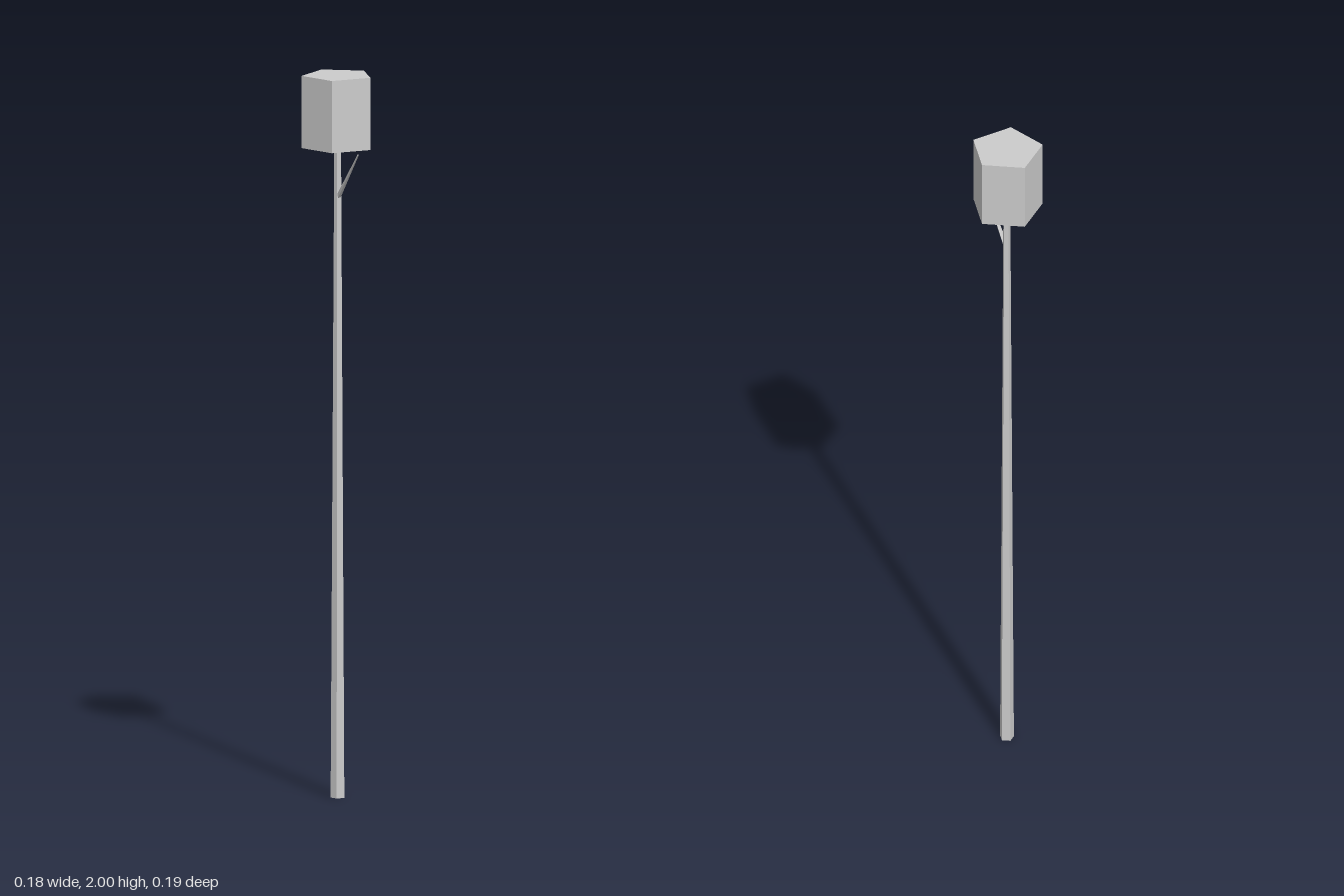
import * as THREE from 'three';

const SIDES = 5;
const AXIS_X = -0.01;

export function createModel() {
  const group = new THREE.Group();
  const material = new THREE.MeshStandardMaterial({ color: 0xcccccc, flatShading: true });

  // Five-sided tapered prism between two points, one corner turned to +x
  function prism(name, from, to, bottomRadius, topRadius) {
    const axis = to.clone().sub(from);
    const geometry = new THREE.CylinderGeometry(
      topRadius, bottomRadius, axis.length(), SIDES, 1, false, Math.PI / 2);
    const mesh = new THREE.Mesh(geometry, material);
    mesh.name = name;
    mesh.position.copy(from).add(to).multiplyScalar(0.5);
    mesh.quaternion.setFromUnitVectors(new THREE.Vector3(0, 1, 0), axis.normalize());
    group.add(mesh);
  }

  const onAxis = (y) => new THREE.Vector3(AXIS_X, y, 0);

  // Slender trunk, block of foliage on top, and one bare side branch
  prism('trunk', onAxis(0), onAxis(1.8), 0.02, 0.01);
  prism('crown', onAxis(1.8), onAxis(2), 0.1, 0.1);
  prism('branch', onAxis(1.66), new THREE.Vector3(0.09, 1.797, 0.073), 0.007, 0.002);

  return group;
}
